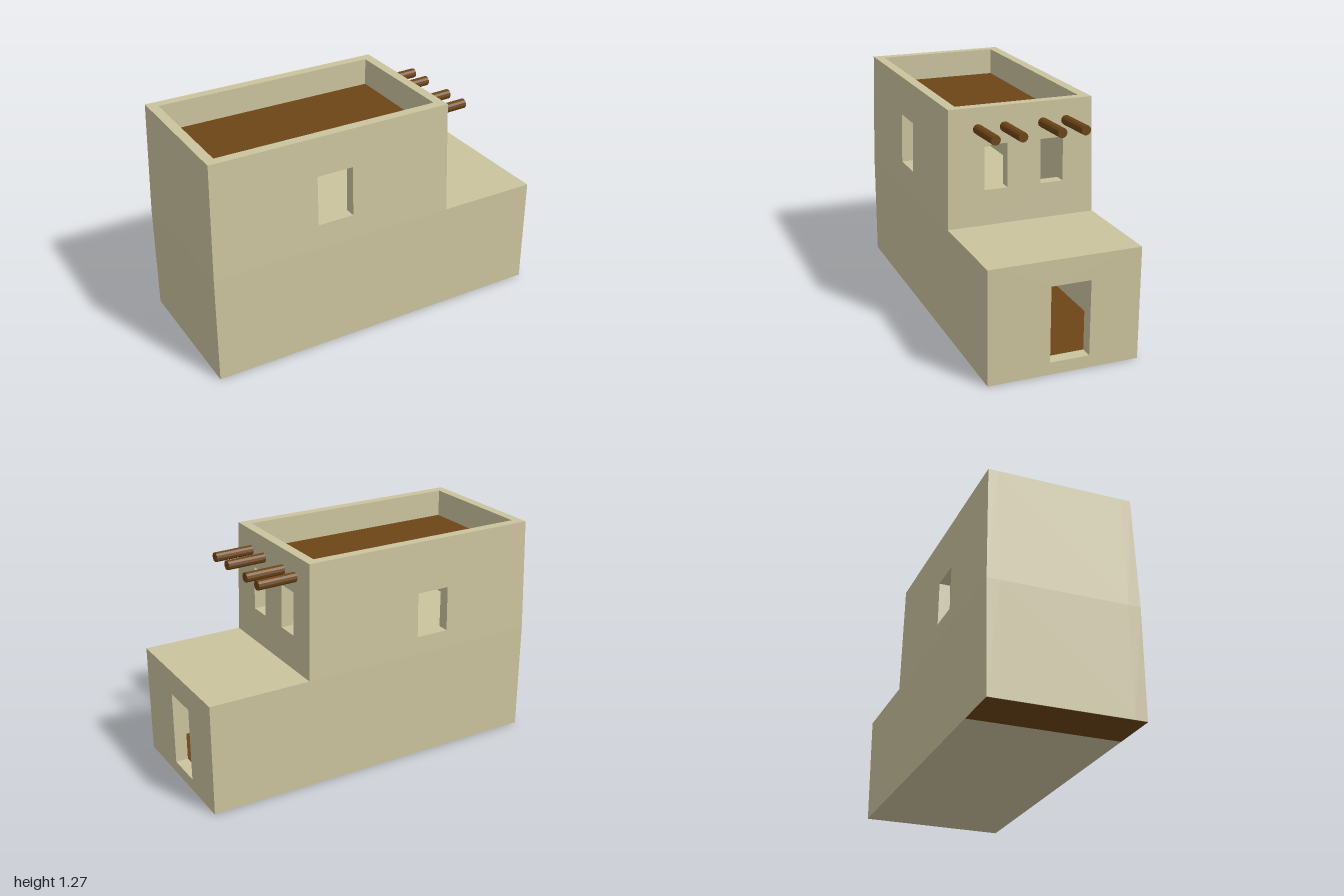
import * as THREE from 'three';

const CLAY = new THREE.MeshStandardMaterial({ color: 0xcbc39e, flatShading: true });
const WOOD = new THREE.MeshStandardMaterial({ color: 0x6c4516, flatShading: true });

const BASE = 0.002, STOREY = 0.63, TOP = 1.275; // levels
const OUT = 0.42, IN = 0.35, WALL = OUT - IN;   // half depths and wall thickness
const UPPER_END = 0.425;                        // right end of the upper storey
const LEAN = 0.015;

export function createModel() {
  const house = new THREE.Group();
  house.name = 'house';

  const add = (name, geometry, material, parent = house) => {
    const mesh = new THREE.Mesh(geometry, material);
    mesh.name = name;
    parent.add(mesh);
    return mesh;
  };

  // box given by its limits
  const block = (name, material, x0, x1, y0, y1, z0, z1) => {
    const g = new THREE.BoxGeometry(x1 - x0, y1 - y0, z1 - z0);
    g.translate((x0 + x1) / 2, (y0 + y1) / 2, (z0 + z1) / 2);
    return add(name, g, material);
  };

  // wall slab in the xy plane with rectangular openings [a0, a1, y0, y1]
  const slab = (a0, a1, y0, y1, holes) => {
    const rect = (T, l, r, b, t) => {
      const s = new T();
      s.moveTo(l, b); s.lineTo(r, b); s.lineTo(r, t); s.lineTo(l, t); s.closePath();
      return s;
    };
    const shape = rect(THREE.Shape, a0, a1, y0, y1);
    holes.forEach(h => shape.holes.push(rect(THREE.Path, ...h)));
    return new THREE.ExtrudeGeometry(shape, { depth: WALL, bevelEnabled: false });
  };

  // outer faces of the upper storey lean inwards
  const lean = g => {
    const p = g.attributes.position;
    for (let i = 0; i < p.count; i++) {
      const d = LEAN * (p.getY(i) - STOREY) / (TOP - STOREY);
      const x = p.getX(i), z = p.getZ(i);
      if (x < -0.99) p.setX(i, x + d);
      if (x > UPPER_END - 0.01) p.setX(i, x - d);
      if (Math.abs(z) > OUT - 0.01) p.setZ(i, z - Math.sign(z) * d);
    }
    g.computeVertexNormals();
    return g;
  };

  // four walls of a storey
  const storey = (name, xEnd, y0, y1, openings, shapeRule = g => g) => {
    const group = new THREE.Group();
    group.name = name;
    house.add(group);
    const { front = [], back = [], end = [] } = openings;
    add('frontWall', shapeRule(slab(-1, xEnd, y0, y1, front).translate(0, 0, IN)), CLAY, group);
    add('backWall', shapeRule(slab(-1, xEnd, y0, y1, back).translate(0, 0, -OUT)), CLAY, group);
    const side = (holes, x) => shapeRule(slab(-IN, IN, y0, y1, holes).rotateY(Math.PI / 2).translate(x, 0, 0));
    add('leftWall', side(end, xEnd - WALL), CLAY, group);
    add('rightWall', side([], -1), CLAY, group);
  };

  // side openings are measured along -z
  storey('lowerStorey', 1, BASE, STOREY, { end: [[-0.08, 0.14, 0.07, 0.49]] });
  storey('upperStorey', UPPER_END, STOREY, TOP, {
    front: [[-0.39, -0.18, 0.77, 1.055]],
    back: [[-0.455, -0.26, 0.73, 0.985]],
    end: [[-0.21, -0.08, 0.825, 1.07], [0.11, 0.24, 0.825, 1.07]],
  }, lean);

  // floors and roofs
  block('groundFloor', WOOD, -0.93, 0.93, BASE, 0.07, -IN, IN);
  block('terrace', CLAY, -0.93, 0.93, 0.58, STOREY, -IN, IN);
  block('ceiling', CLAY, -0.93, UPPER_END - WALL, 1.075, 1.1, -IN, IN);
  block('roof', WOOD, -0.93, UPPER_END - WALL, 1.1, 1.12, -IN, IN);

  // underside in two materials
  const underside = (name, material, x0, x1) => add(name,
    new THREE.PlaneGeometry(x1 - x0, 2 * OUT).rotateX(Math.PI / 2).translate((x0 + x1) / 2, 0, 0), material);
  underside('clayUnderside', CLAY, -0.72, 1);
  underside('woodUnderside', WOOD, -1, -0.72);

  // roof beams poking out above the terrace, slightly skewed
  [0.24, 0.091, -0.126, -0.26].forEach(z => {
    const beam = add('roofBeam', new THREE.CylinderGeometry(0.027, 0.027, 0.27, 12), WOOD);
    beam.rotation.set(0, 0.05, -Math.PI / 2, 'YXZ');
    beam.position.set(0.505, 1.16, z);
  });

  return house;
}
